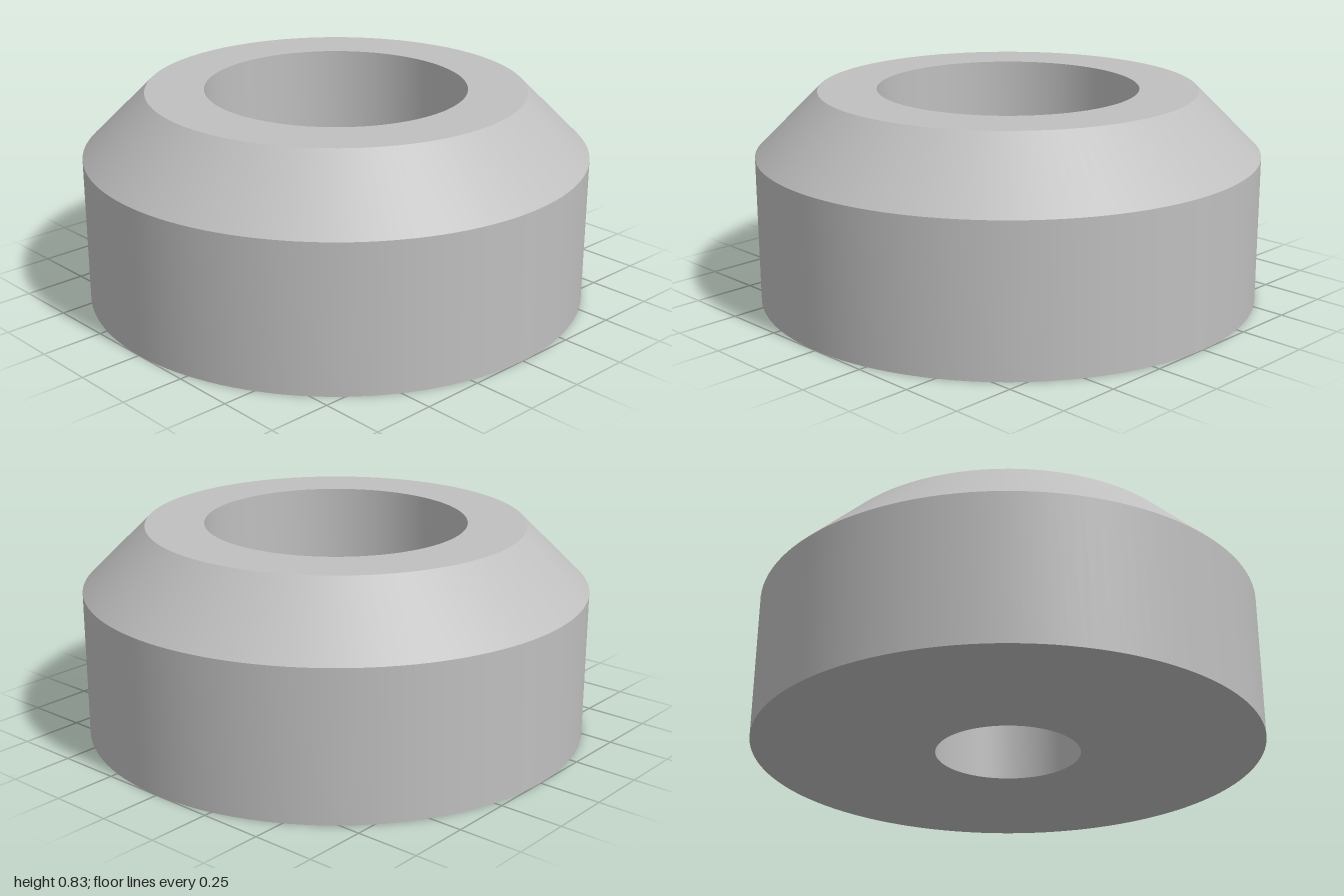
import * as THREE from 'three';
import { toCreasedNormals } from 'three/addons/utils/BufferGeometryUtils.js';

export function createModel() {
  const group = new THREE.Group();
  group.name = 'bushing';

  const metal = new THREE.MeshStandardMaterial({ color: 0xbfbfbf });
  metal.name = 'light grey metal';

  // Closed cross-section [radius, height]: base, outer wall, chamfer, rim, counterbore, through hole
  const profile = [
    [0.285, 0],
    [1, 0],
    [1, 0.585],
    [0.75, 0.833],
    [0.518, 0.833],
    [0.518, 0.34],
    [0.285, 0.34],
    [0.285, 0],
  ].map(([r, y]) => new THREE.Vector2(r, y));

  // Smooth around the axis, sharp at every corner of the profile
  const geometry = toCreasedNormals(new THREE.LatheGeometry(profile, 128), Math.PI / 6);
  const body = new THREE.Mesh(geometry, metal);
  body.name = 'chamferedRingBody';
  group.add(body);

  return group;
}
